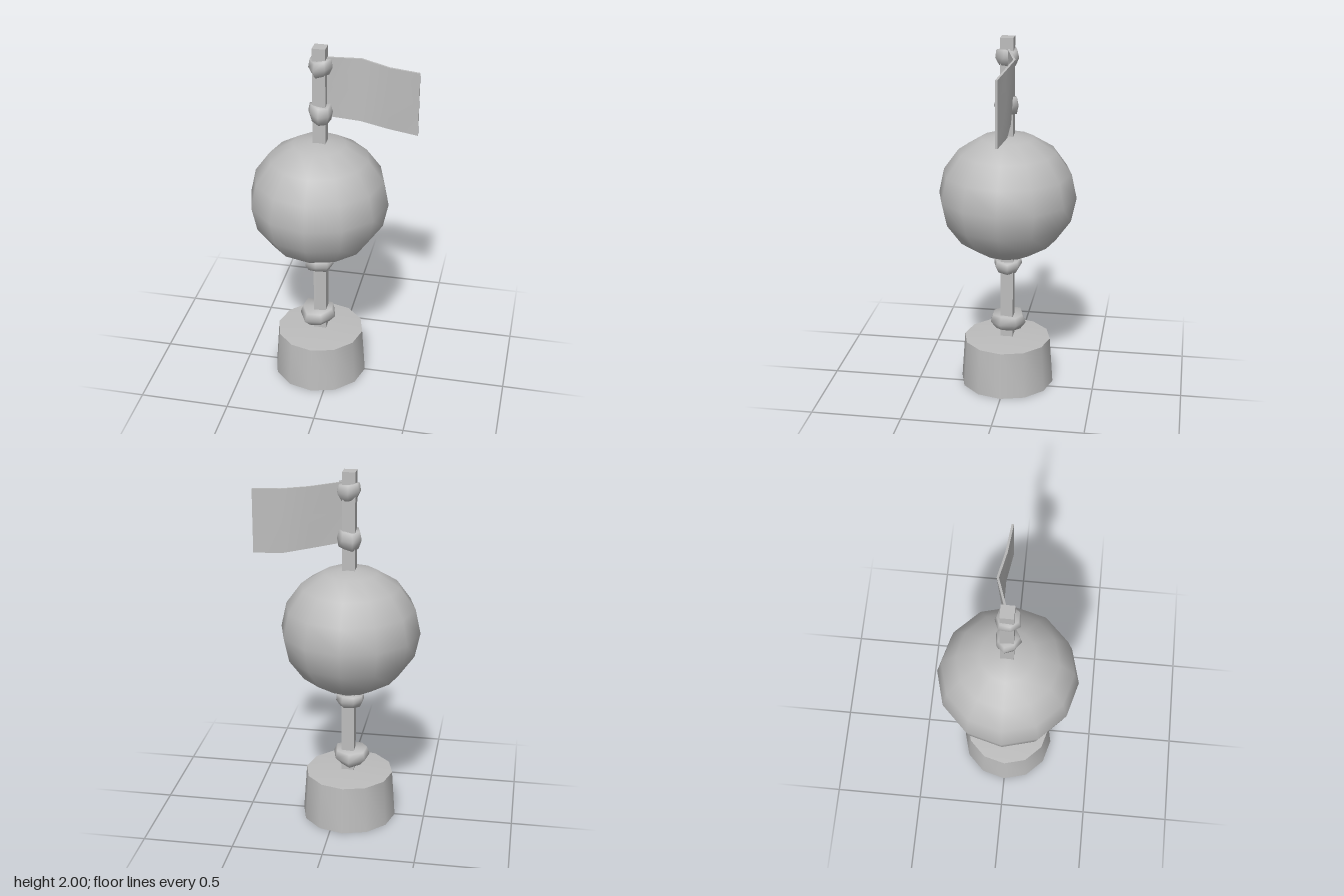
import * as THREE from 'three';
import { mergeVertices, toCreasedNormals } from 'three/addons/utils/BufferGeometryUtils.js';

const AXIS = -0.07; // x of the mast

export function createModel() {
  const group = new THREE.Group();
  const grey = new THREE.MeshStandardMaterial({ color: 0xbcbcbc });
  grey.name = 'grey';

  const add = (name, geometry, x, y, z) => {
    const mesh = new THREE.Mesh(geometry, grey);
    mesh.name = name;
    mesh.position.set(x, y, z);
    group.add(mesh);
    return mesh;
  };

  // Weld all corners so shading flows over the edges
  const weld = (geometry) => {
    geometry.deleteAttribute('normal');
    geometry.deleteAttribute('uv');
    const welded = mergeVertices(geometry, 1e-4);
    welded.computeVertexNormals();
    return welded;
  };

  // Tapered base with a slightly domed top
  const baseProfile = [[0, 0], [0.264, 0], [0.245, 0.268], [0, 0.287]]
    .map(([r, y]) => new THREE.Vector2(r, y));
  add('base', toCreasedNormals(new THREE.LatheGeometry(baseProfile, 12), 0.7), AXIS, 0, 0);

  // Square mast
  add('mast', new THREE.BoxGeometry(0.07, 1.73, 0.07), AXIS + 0.004, 1.135, -0.002);

  // Round float
  const float = add('float', new THREE.SphereGeometry(0.382, 12, 8), AXIS - 0.003, 1.12, 0);
  float.scale.y = 0.355 / 0.382;

  // Lumpy knots tied around the mast
  const knot = (name, x, y0, y1, rTop, rMid, rBottom, turn) => {
    const h = y1 - y0;
    const g = new THREE.CylinderGeometry(rTop, rBottom, h, 7, 2);
    const p = g.attributes.position;
    for (let i = 0; i < p.count; i++) {
      const px = p.getX(i), py = p.getY(i), pz = p.getZ(i);
      const r = Math.hypot(px, pz);
      if (r < 1e-4) continue;
      const a = Math.atan2(pz, px);
      const middle = Math.abs(py) < h * 0.1;
      const k = (middle ? rMid / r : 1) * (1 + 0.07 * Math.sin(3 * a + turn + py * 20));
      p.setXYZ(i, px * k, py + h * 0.09 * Math.sin(2 * a + turn), pz * k);
    }
    add(name, weld(g), x, (y0 + y1) / 2, 0).rotation.y = turn;
  };
  knot('lowerKnot', -0.085, 0.32, 0.405, 0.09, 0.106, 0.07, 0.4);
  knot('middleKnot', -0.075, 0.672, 0.738, 0.074, 0.079, 0.06, 1.7);
  knot('flagLowerKnot', -0.064, 1.585, 1.68, 0.058, 0.067, 0.053, 0.9);
  knot('flagUpperKnot', -0.062, 1.85, 1.935, 0.058, 0.068, 0.046, 2.3);

  // Waving flag: [x, top y, bottom y, top z, bottom z]
  const sections = [
    [-0.03, 1.943, 1.615, -0.012, -0.008],
    [0.14, 1.925, 1.585, -0.068, -0.045],
    [0.29, 1.9, 1.552, -0.04, -0.048],
    [0.45, 1.89, 1.54, -0.024, -0.024],
  ];
  const cloth = new THREE.BoxGeometry(3, 1, 0.012, 3, 2, 1);
  const c = cloth.attributes.position;
  for (let i = 0; i < c.count; i++) {
    const [x, yt, yb, zt, zb] = sections[Math.round(c.getX(i) + 1.5)];
    const t = c.getY(i) + 0.5;
    c.setXYZ(i, x, yb + (yt - yb) * t, zb + (zt - zb) * t + c.getZ(i));
  }
  add('flag', toCreasedNormals(cloth, 0.9), 0, 0, 0);

  return group;
}
